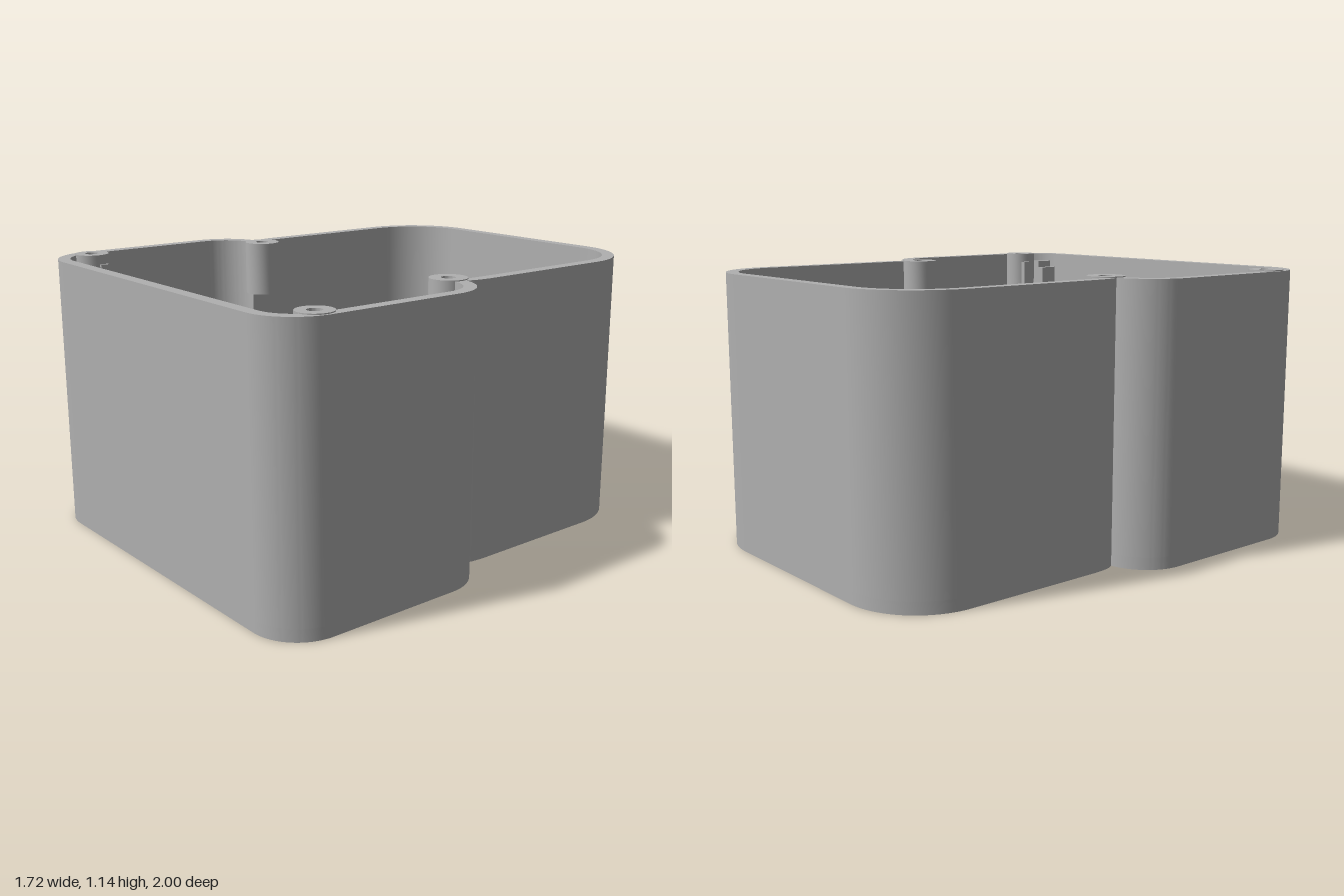
import * as THREE from 'three';
import { toCreasedNormals } from 'three/addons/utils/BufferGeometryUtils.js';

const WALL_TOP = 1.136;
const BOSS_TOP = 1.14;
const FLOOR = 0.05;

// Plan outline (shape y = -z), moved inwards by t; a is where the side notch meets.
function outline(t, a, Kind = THREE.Shape) {
  const s = new Kind();
  const R = 0.2 - t, x = 0.71 - t, P = Math.PI;
  const cx = 0.66 + R * Math.cos(a), cy = -0.23 + R * Math.sin(a);
  s.moveTo(-0.66, -0.8 - R);
  s.absarc(0.66, -0.8, R, -P / 2, 0, false);
  s.absarc(0.66, -0.23, R, 0, a, false);
  s.quadraticCurveTo(x, 0, x, 0.1);
  s.absarc(0.4, 0.69, 0.31 - t, 0, P / 2, false);
  s.absarc(-0.4, 0.69, 0.31 - t, P / 2, P, false);
  s.lineTo(-x, 0.1);
  s.quadraticCurveTo(-x, 0, -cx, cy);
  s.absarc(-0.66, -0.23, R, P - a, P, false);
  s.absarc(-0.66, -0.8, R, P, 1.5 * P, false);
  return s;
}

// Rounded rectangular cut-out between two corners given in x and z.
function cutout(x0, x1, z0, z1, r) {
  const p = new THREE.Path(), P = Math.PI, b = -z1, t = -z0;
  p.moveTo(x0 + r, b);
  p.absarc(x1 - r, b + r, r, -P / 2, 0, false);
  p.absarc(x1 - r, t - r, r, 0, P / 2, false);
  p.absarc(x0 + r, t - r, r, P / 2, P, false);
  p.absarc(x0 + r, b + r, r, P, 1.5 * P, false);
  return p;
}

// Raise a plan shape from y0 to y1.
function raise(shape, y0, y1) {
  const g = new THREE.ExtrudeGeometry(shape, { depth: y1 - y0, bevelEnabled: false, curveSegments: 16 });
  g.rotateX(-Math.PI / 2);
  g.translate(0, y0, 0);
  return toCreasedNormals(g, 0.5);
}

export function createModel() {
  const model = new THREE.Group();
  model.name = 'enclosure';
  const grey = new THREE.MeshStandardMaterial({ color: 0xb0b0b0 });
  grey.name = 'grey plastic';

  const add = (name, geometry, parent = model) => {
    const m = new THREE.Mesh(geometry, grey);
    m.name = name;
    parent.add(m);
    return m;
  };
  const block = (name, x0, x1, y0, y1, z0, z1, parent) => {
    const g = new THREE.BoxGeometry(x1 - x0, y1 - y0, z1 - z0);
    g.translate((x0 + x1) / 2, (y0 + y1) / 2, (z0 + z1) / 2);
    return add(name, g, parent);
  };

  // Floor with vent slots and connector openings
  const floor = outline(0, 1.445);
  for (let i = 0; i < 8; i++) {
    const x = -0.403 + i * 0.1055;
    floor.holes.push(cutout(x - 0.03, x + 0.03, 0, 0.22, 0.0299));
  }
  floor.holes.push(
    cutout(-0.69, -0.33, 0.33, 0.44, 0.02),
    cutout(-0.58, -0.31, 0.56, 0.68, 0.02),
    cutout(0.32, 0.6, 0.43, 0.6, 0.02),
  );
  add('floor', raise(floor, 0, FLOOR));

  // Surrounding wall
  const wall = outline(0, 1.445);
  wall.holes.push(outline(0.05, 1.67, THREE.Path));
  add('wall', raise(wall, FLOOR, WALL_TOP));

  for (const side of [1, -1]) {
    const name = side > 0 ? 'left' : 'right';

    // Screw bosses at the notch and the front corner
    for (const [part, x, z, r] of [['NotchBoss', 0.61, 0.05, 0.075], ['FrontBoss', 0.78, 0.81, 0.07]]) {
      const ring = new THREE.Shape().absarc(side * x, -z, r, 0, Math.PI * 2, false);
      ring.holes.push(new THREE.Path().absarc(side * x, -z, 0.028, 0, Math.PI * 2, true));
      add(name + part, raise(ring, BOSS_TOP - 0.23, BOSS_TOP));
    }

    // Board guide: two ribs, a web, three clips and a bottom stop
    const guide = new THREE.Group();
    guide.name = name + 'BoardGuide';
    model.add(guide);
    const span = (a, b) => (side > 0 ? [a, b] : [-b, -a]);
    block('rearRib', ...span(0.7, 0.83), 0.2, 1.1, 0.77, 0.81, guide);
    block('frontRib', ...span(0.7, 0.76), 0.2, 1.1, 0.865, 0.955, guide);
    block('web', ...span(0.74, 0.82), 0.2, 1.1, 0.8, 0.87, guide);
    for (const y of [0.36, 0.7, 1.02]) {
      block('clip', ...span(0.67, 0.71), y - 0.05, y + 0.05, 0.865, 0.955, guide);
    }
    block('bottomStop', ...span(0.59, 0.71), 0.2, 0.25, 0.76, 0.955, guide);
  }
  return model;
}
